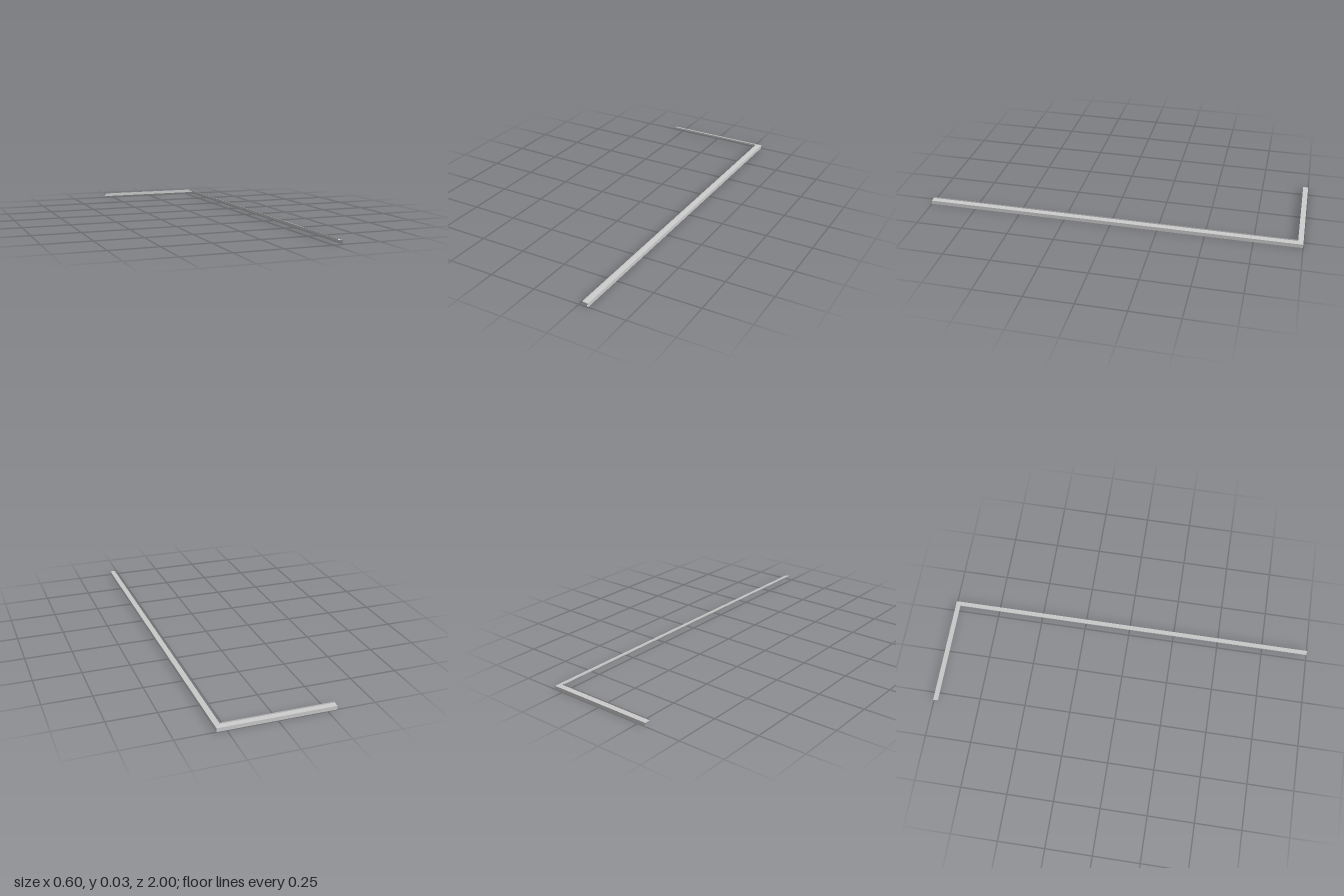
import * as THREE from 'three';

// Bent-sheet edge trim: a folded profile swept around one mitred corner.
const X = 0.3, Z = 1;

// Fold lines of the sheet: [inset from the outer face, height]
const folds = [
  [0.0275, 0.0288],
  [0.0275, 0.0222],
  [0, 0.02],
  [0, 0],
  [0.006, 0.009],
];
const names = ['upstand', 'slopedLedge', 'outerFascia', 'dripHem'];

// The three stations of one fold line: front end, mitred corner, side end
const stations = ([d, y]) => [
  [X - d, y, Z],
  [X - d, y, -Z + d],
  [-X, y, -Z + d],
];

// Flat strip of sheet between two fold lines, facing outward
function strip(upper, lower, material, name) {
  const a = stations(upper), b = stations(lower), pos = [];
  for (let i = 0; i < 2; i++) {
    pos.push(...a[i], ...b[i], ...b[i + 1], ...a[i], ...b[i + 1], ...a[i + 1]);
  }
  const geometry = new THREE.BufferGeometry();
  geometry.setAttribute('position', new THREE.Float32BufferAttribute(pos, 3));
  geometry.computeVertexNormals();
  const mesh = new THREE.Mesh(geometry, material);
  mesh.name = name;
  return mesh;
}

export function createModel() {
  const group = new THREE.Group();
  group.name = 'cornerEdgeTrim';
  const material = new THREE.MeshStandardMaterial({
    color: 0xcccccc, flatShading: true, side: THREE.DoubleSide,
  });
  names.forEach((name, i) => group.add(strip(folds[i], folds[i + 1], material, name)));
  return group;
}
